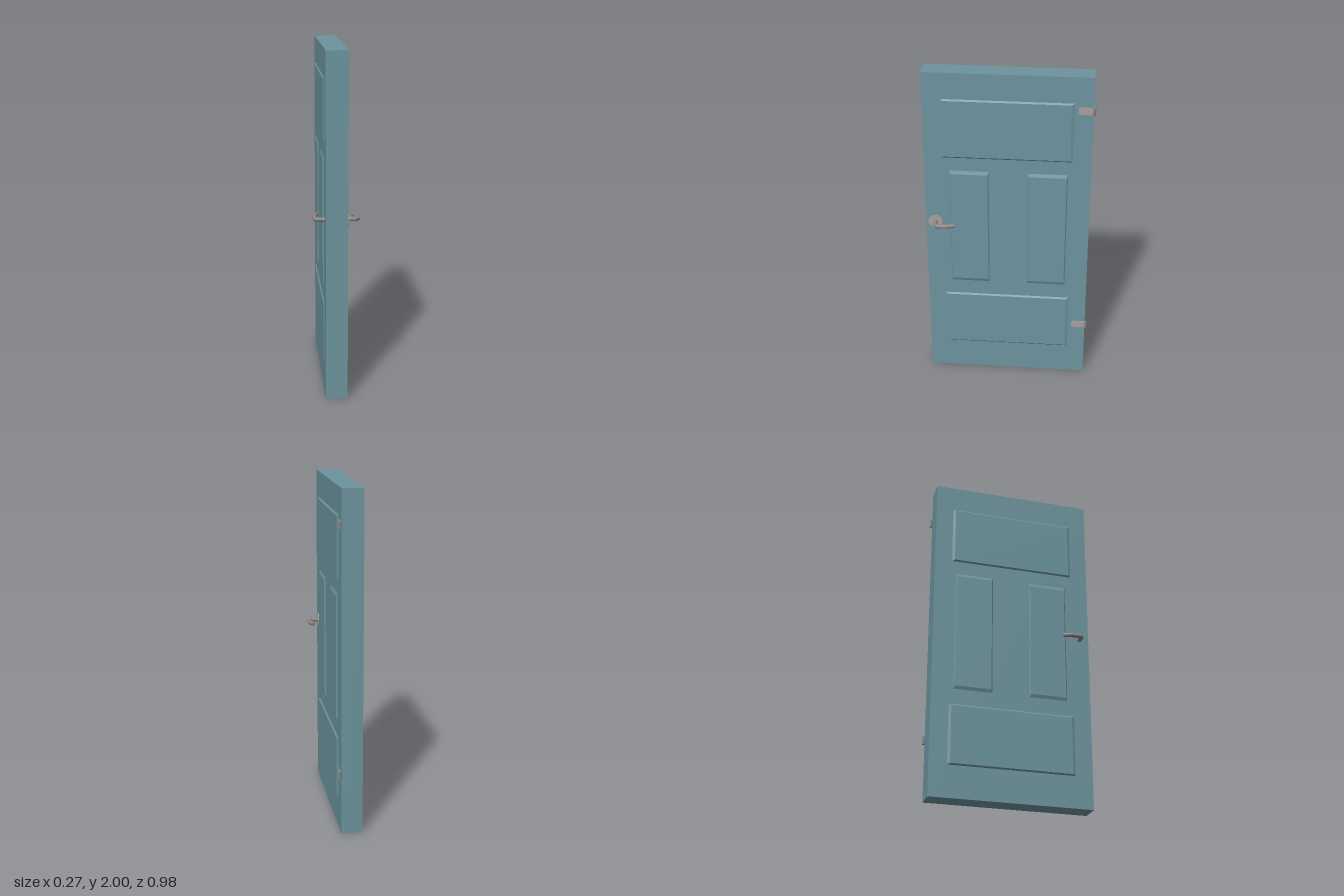
import * as THREE from 'three';

const paint = new THREE.MeshStandardMaterial({ color: 0x6c949d, name: 'tealPaint' });
const lightMetal = new THREE.MeshStandardMaterial({ color: 0xa8a09e, name: 'lightMetal' });
const darkMetal = new THREE.MeshStandardMaterial({ color: 0x8a8482, name: 'darkMetal' });

function add(parent, name, geometry, material, x = 0, y = 0, z = 0) {
  const mesh = new THREE.Mesh(geometry, material);
  mesh.name = name;
  mesh.position.set(x, y, z);
  parent.add(mesh);
  return mesh;
}

// Flat-faced version of an indexed geometry
function faceted(geometry) {
  const g = geometry.toNonIndexed();
  g.computeVertexNormals();
  return g;
}

// Panel running through the leaf, bevelled on both faces
function panelGeometry(height, width, bevelY, bevelZ) {
  const g = new THREE.BoxGeometry(3, height, width, 3, 1, 1);
  const p = g.attributes.position;
  const stations = [-0.072, -0.064, 0.059, 0.068];
  for (let i = 0; i < p.count; i++) {
    const k = Math.round(p.getX(i) + 1.5);
    p.setX(i, stations[k]);
    if (k === 0 || k === 3) {
      p.setY(i, p.getY(i) - Math.sign(p.getY(i)) * bevelY);
      p.setZ(i, p.getZ(i) - Math.sign(p.getZ(i)) * bevelZ);
    }
  }
  return faceted(g);
}

// Round bar with mitred corners along a path lying in the xz plane
function barGeometry(path, radius, sides = 10) {
  const up = new THREE.Vector3(0, 1, 0);
  const pts = path.map(([x, z]) => new THREE.Vector3(x, 0, z));
  const pos = [], index = [];
  const last = pts.length - 1;
  pts.forEach((c, i) => {
    const before = c.clone().sub(pts[Math.max(i - 1, 0)]).normalize();
    const after = pts[Math.min(i + 1, last)].clone().sub(c).normalize();
    const t = before.clone().add(after).normalize();
    const mitre = 1 / t.dot(i < last ? after : before);
    const s = t.clone().cross(up).multiplyScalar(mitre);
    for (let j = 0; j < sides; j++) {
      const a = (j / sides) * Math.PI * 2;
      const v = c.clone().addScaledVector(s, radius * Math.cos(a)).addScaledVector(up, radius * Math.sin(a));
      pos.push(v.x, v.y, v.z);
    }
  });
  pos.push(pts[0].x, 0, pts[0].z, pts[last].x, 0, pts[last].z);
  const start = pts.length * sides, end = start + 1;
  for (let j = 0; j < sides; j++) {
    const n = (j + 1) % sides;
    for (let i = 0; i < last; i++) {
      const a = i * sides + j, b = i * sides + n;
      index.push(a, a + sides, b, b, a + sides, b + sides);
    }
    index.push(start, j, n, end, last * sides + n, last * sides + j);
  }
  const g = new THREE.BufferGeometry();
  g.setAttribute('position', new THREE.Float32BufferAttribute(pos, 3));
  g.setIndex(index);
  return faceted(g);
}

// Hinge plate with clipped corners on the leaf side, facing +x
function hingePlateGeometry() {
  const s = new THREE.Shape();
  s.moveTo(-0.083, -0.022).lineTo(-0.008, -0.022).lineTo(0, -0.014);
  s.lineTo(0, 0.014).lineTo(-0.008, 0.022).lineTo(-0.083, 0.022);
  const g = new THREE.ExtrudeGeometry(s, { depth: 0.003, bevelEnabled: false });
  // Shape x becomes -z here, so mirror it while keeping the winding
  g.rotateY(Math.PI / 2);
  g.rotateX(Math.PI);
  return g;
}

export function createModel() {
  const door = new THREE.Group();
  door.name = 'door';

  // Leaf
  add(door, 'leaf', new THREE.BoxGeometry(0.125, 2, 0.965), paint, -0.0025, 1, 0.0075);

  // Wide panels at top and bottom, a tall pair between them
  const wide = panelGeometry(0.365, 0.76, 0.01, 0.018);
  add(door, 'topPanel', wide, paint, 0, 1.6625, 0.008);
  add(door, 'bottomPanel', wide, paint, 0, 0.3725, 0.008);
  const tall = panelGeometry(0.755, 0.233, 0.022, 0.008);
  add(door, 'frontMiddlePanel', tall, paint, 0, 1.0225, 0.23);
  add(door, 'backMiddlePanel', tall, paint, 0, 1.0225, -0.228);

  // Lever on each face
  const handleY = 1.056;
  const lever = [[0.05, 0.432], [0.104, 0.432], [0.12, 0.417], [0.12, 0.365], [0.105, 0.318]];
  add(door, 'leftLever', barGeometry(lever, 0.0125), darkMetal, 0, handleY, 0);
  const mirrored = lever.map(([x, z]) => [-x - 0.002, z]);
  add(door, 'rightLever', barGeometry(mirrored, 0.0125), darkMetal, 0, handleY, 0);

  // Rose behind the left lever
  const rose = new THREE.CylinderGeometry(0.043, 0.043, 0.008, 24);
  rose.rotateZ(-Math.PI / 2);
  add(door, 'handleRose', rose, lightMetal, 0.061, handleY, 0.434);

  // Hinges
  for (const [name, y] of [['topHinge', 1.803], ['bottomHinge', 0.365]]) {
    const hinge = new THREE.Group();
    hinge.name = name;
    hinge.position.set(0, y, 0);
    door.add(hinge);
    add(hinge, 'hingePlate', hingePlateGeometry(), lightMetal, 0.065, 0, -0.393);
    add(hinge, 'hingeBarrel', new THREE.CylinderGeometry(0.008, 0.008, 0.044, 12),
      [darkMetal, paint, paint], 0.069, 0, -0.48);
  }
  return door;
}
